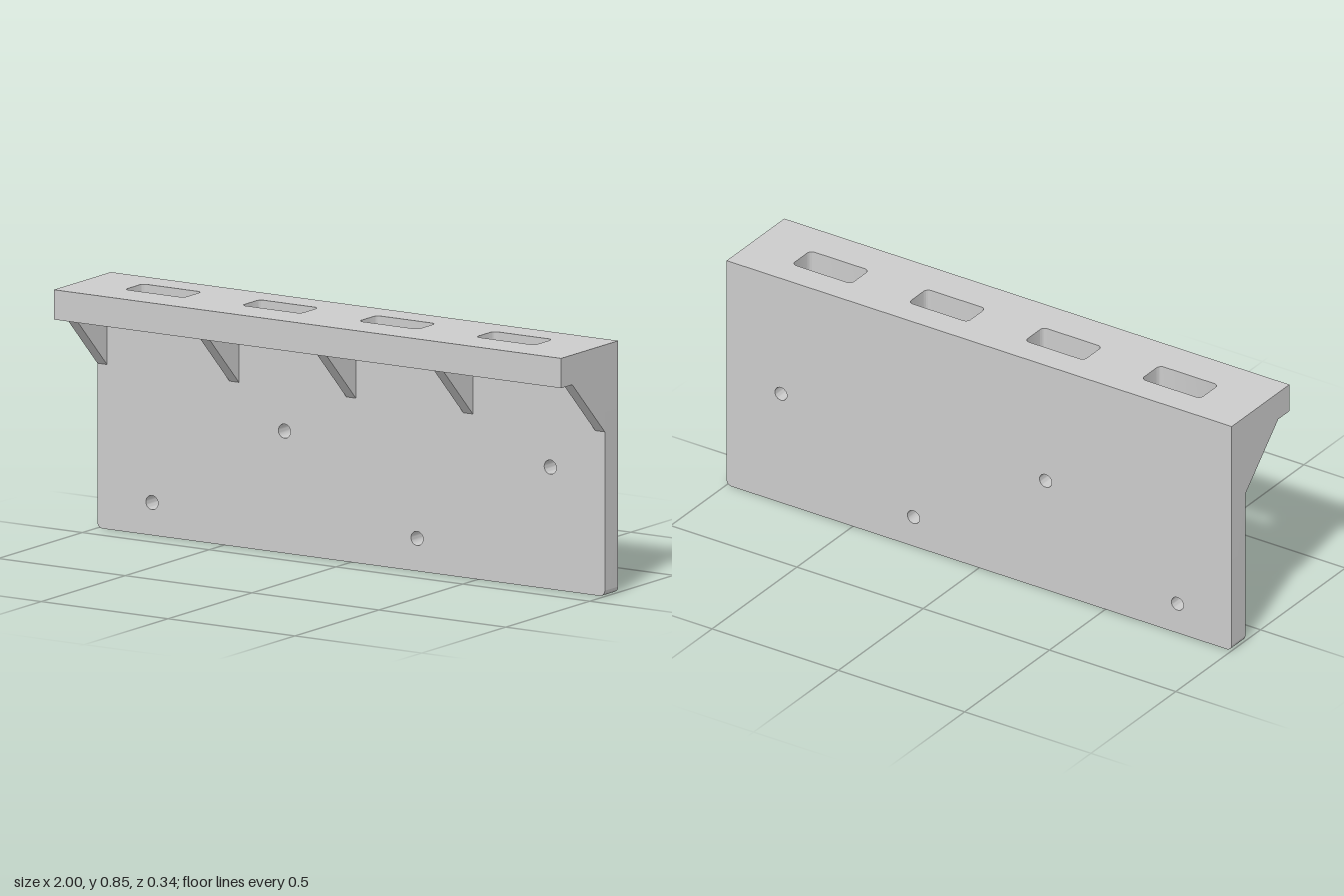
import * as THREE from 'three';
import { toCreasedNormals } from 'three/addons/utils/BufferGeometryUtils.js';

const HEIGHT = 0.845, SHELF_Y = 0.745, BACK = -0.17, PLATE_FRONT = -0.09, FRONT = 0.17;
const material = new THREE.MeshStandardMaterial({ color: 0xcccccc });

function extrude(shape, depth) {
  return toCreasedNormals(
    new THREE.ExtrudeGeometry(shape, { depth, bevelEnabled: false, curveSegments: 12 }), 0.6);
}

function part(name, geometry) {
  const mesh = new THREE.Mesh(geometry, material);
  mesh.name = name;
  return mesh;
}

// Rectangle with separate radii for its lower and upper corners
function roundedRect(path, x0, y0, x1, y1, low, high) {
  path.moveTo(x0 + low, y0).lineTo(x1 - low, y0);
  if (low) path.absarc(x1 - low, y0 + low, low, -Math.PI / 2, 0);
  path.lineTo(x1, y1 - high);
  if (high) path.absarc(x1 - high, y1 - high, high, 0, Math.PI / 2);
  path.lineTo(x0 + high, y1);
  if (high) path.absarc(x0 + high, y1 - high, high, Math.PI / 2, Math.PI);
  path.lineTo(x0, y0 + low);
  if (low) path.absarc(x0 + low, y0 + low, low, Math.PI, Math.PI * 1.5);
  return path;
}

export function createModel() {
  const group = new THREE.Group();
  group.name = 'slottedWallShelf';

  // Back plate with rounded lower corners and screw holes
  const plate = roundedRect(new THREE.Shape(), -1, 0, 1, SHELF_Y, 0.02, 0);
  for (const [x, y] of [[-0.785, 0.11], [0.26, 0.11], [-0.263, 0.41], [0.785, 0.41]]) {
    plate.holes.push(new THREE.Path().absarc(x, y, 0.024, 0, Math.PI * 2, true));
  }
  group.add(part('backPlate', extrude(plate, PLATE_FRONT - BACK).translate(0, 0, BACK)));

  // Shelf with a row of rounded slots, drawn in plan and laid flat
  const shelf = roundedRect(new THREE.Shape(), -1, BACK, 1, FRONT, 0, 0);
  for (let i = 0; i < 4; i++) {
    const x = (i - 1.5) * 0.461;
    shelf.holes.push(roundedRect(new THREE.Path(), x - 0.117, -0.07, x + 0.117, 0.038, 0.018, 0.018));
  }
  group.add(part('shelf',
    extrude(shelf, HEIGHT - SHELF_Y).rotateX(Math.PI / 2).translate(0, HEIGHT, 0)));

  // Triangular gussets under the shelf
  const profile = new THREE.Shape([
    new THREE.Vector2(PLATE_FRONT, 0.553),
    new THREE.Vector2(0.104, SHELF_Y),
    new THREE.Vector2(PLATE_FRONT, SHELF_Y),
  ]);
  const thickness = 0.038;
  const gusset = extrude(profile, thickness).translate(0, 0, -thickness / 2).rotateY(-Math.PI / 2);
  for (const x of [-1 + thickness / 2, -0.461, 0, 0.461, 1 - thickness / 2]) {
    const mesh = part('gusset', gusset);
    mesh.position.x = x;
    group.add(mesh);
  }
  return group;
}
